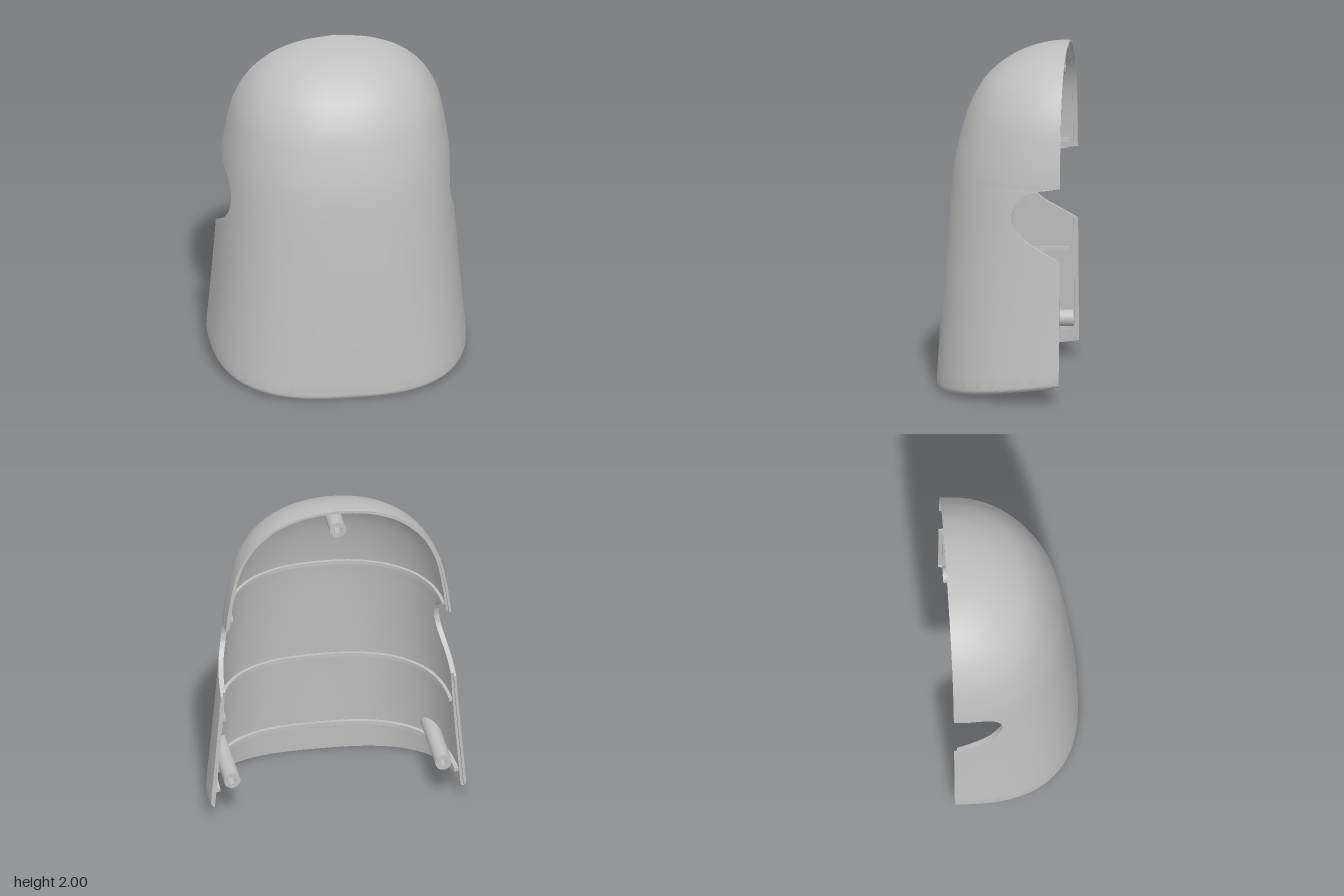
import * as THREE from 'three';
import { toCreasedNormals } from 'three/addons/utils/BufferGeometryUtils.js';

const BACK = -0.38; // plane of the open back
const WALL = 0.958; // inner wall as a share of the outer outline
const lerp = THREE.MathUtils.lerp;

// Side silhouette: half width, height, front z
const silhouette = new THREE.CatmullRomCurve3([
  [0.752, 0, 0.38], [0.722, 0.4, 0.357], [0.692, 0.83, 0.328], [0.662, 1.26, 0.288],
  [0.645, 1.4, 0.262], [0.605, 1.6, 0.205], [0.565, 1.7, 0.16], [0.5, 1.8, 0.092],
  [0.385, 1.9, -0.03], [0.28, 1.95, -0.13], [0.175, 1.98, -0.23], [0, 2, BACK],
].map(p => new THREE.Vector3(...p)), false, 'centripetal').getPoints(800);

function section(y) {
  let i = silhouette.findIndex(p => p.y >= y);
  if (i < 0) i = silhouette.length - 1;
  i = Math.max(1, i);
  const p = silhouette[i - 1], q = silhouette[i];
  const f = THREE.MathUtils.clamp((y - p.y) / (q.y - p.y || 1), 0, 1);
  return { a: lerp(p.x, q.x, f), d: lerp(p.z, q.z, f) - BACK, n: lerp(2.75, 2.1, y / 2) };
}

// Side cut-outs: height and z of the edge
const notch = [[0.83, BACK], [0.93, -0.205], [0.96, -0.165], [1.0, -0.128], [1.04, -0.105],
  [1.09, -0.096], [1.13, -0.103], [1.17, -0.124], [1.2, -0.15], [1.225, -0.187],
  [1.236, -0.22], [1.26, BACK]];

function edgeZ(y) {
  for (let i = 1; i < notch.length; i++) {
    const [y0, z0] = notch[i - 1], [y1, z1] = notch[i];
    if (y >= y0 && y <= y1) return lerp(z0, z1, (y - y0) / (y1 - y0));
  }
  return BACK;
}

// Angle at which a section reaches a given z
function startAngle(s, k, z) {
  const f = THREE.MathUtils.clamp((z - BACK) / (s.d * k || 1e-6), 0, 1);
  return Math.asin(Math.pow(f, s.n / 2));
}

// Point on a superelliptic half section, scaled by k
function onSection(s, k, t) {
  const c = Math.cos(t), e = 2 / s.n;
  return new THREE.Vector3(Math.sign(c) * s.a * k * Math.abs(c) ** e, 0,
    BACK + s.d * k * Math.max(0, Math.sin(t)) ** e);
}

// Skin closed rings; extra triangles may be added by index
function loft(rings, extra = [], crease = 0.6) {
  const m = rings[0].length, index = [...extra];
  for (let r = 0; r < rings.length - 1; r++) {
    for (let i = 0; i < m; i++) {
      const a = r * m + i, b = r * m + (i + 1) % m;
      index.push(a, a + m, b, b, a + m, b + m);
    }
  }
  const g = new THREE.BufferGeometry().setFromPoints(rings.flat());
  g.setIndex(index);
  return toCreasedNormals(g, crease);
}

function shellGeometry() {
  const N = 72, R = 0.035;
  const rows = [];
  for (let i = 0; i <= 6; i++) rows.push(R * (1 - Math.cos(i / 6 * Math.PI / 2)));
  for (let i = 1; i <= 12; i++) rows.push(lerp(R, 0.83, i / 12));
  for (let i = 1; i <= 40; i++) rows.push(lerp(0.83, 1.26, i / 40));
  for (let i = 1; i <= 40; i++) rows.push(1.26 + 0.74 * Math.sin(i / 40 * Math.PI / 2));

  const rings = rows.map(v => {
    const s = section(v), z0 = edgeZ(v);
    const lip = z0 < BACK + 0.005 ? 0.025 : 0; // stepped joint on the back edge
    const inset = v < R ? 0.035 * (1 - Math.sqrt(1 - ((R - v) / R) ** 2)) : 0;
    const point = (k, z, f) => {
      const t0 = startAngle(s, k, z);
      const p = onSection(s, k, lerp(t0, Math.PI - t0, f));
      const roof = 1 - 0.03 * (1 - k) / (1 - WALL) / 0.5; // inner dome sits lower
      p.y = v > 1.5 ? 1.5 + (v - 1.5) * roof : v;
      if (v < 0.7) p.y += (1 - v / 0.7) * 0.1 * (0.38 - p.z) / 0.76; // slanted foot
      return p;
    };
    const outer = 1 - inset, mid = (1 + WALL) / 2, ring = [];
    for (let i = 0; i <= N; i++) ring.push(point(outer, z0, i / N));
    ring.push(point(mid, z0, 1), point(mid, z0 + lip, 1));
    for (let i = N; i >= 0; i--) ring.push(point(WALL, z0 + lip, i / N));
    ring.push(point(mid, z0 + lip, 0), point(mid, z0, 0));
    return ring;
  });

  // Foot rim joins the outer and inner wall
  const rim = [], L = 2 * N + 6, at = i => (i + L) % L, pair = i => at(2 * N + 3 - i);
  for (let i = -1; i <= N; i++) {
    rim.push(at(i), at(i + 1), pair(i), at(i + 1), pair(i + 1), pair(i));
  }
  return loft(rings, rim);
}

// Thin horizontal ledge along the inner wall
function ribGeometry(y) {
  const N = 60, h = 0.011, s = section(y), rings = [];
  const t0 = startAngle(s, 0.93, -0.335);
  for (let i = 0; i <= N; i++) {
    const t = lerp(t0, Math.PI - t0, i / N);
    rings.push([[0.93, -h], [0.93, h], [0.97, h], [0.97, -h]].map(([k, dy]) => {
      const p = onSection(s, k, t);
      p.y = y + dy;
      return p;
    }));
  }
  const e = N * 4;
  return loft(rings, [0, 1, 2, 0, 2, 3, e, e + 2, e + 1, e, e + 3, e + 2]);
}

// Hollow screw post whose front end follows the wall
function postGeometry(x, y) {
  const N = 24, end = BACK + 0.02;
  const wallZ = (px, py) => {
    const s = section(py), k = 0.975;
    const f = Math.min(1, Math.abs(px) / (s.a * k));
    return BACK + s.d * k * (1 - f ** s.n) ** (1 / s.n);
  };
  const steps = [[0.048, null], [0.048, end], [0.022, end], [0.022, end + 0.12], [0, end + 0.12]];
  return loft(steps.map(([r, z]) => Array.from({ length: N }, (_, i) => {
    const t = i / N * Math.PI * 2;
    const px = x + r * Math.cos(t), py = y + r * Math.sin(t);
    return new THREE.Vector3(px, py, z ?? Math.max(end, wallZ(px, py)));
  })));
}

export function createModel() {
  const group = new THREE.Group();
  group.name = 'halfShellCover';
  const grey = new THREE.MeshStandardMaterial({ color: 0xc0c0c0 });
  grey.name = 'light grey plastic';
  const add = (name, geometry) => {
    const mesh = new THREE.Mesh(geometry, grey);
    mesh.name = name;
    group.add(mesh);
  };

  add('shell', shellGeometry());
  add('lowerRib', ribGeometry(0.18));
  add('middleRib', ribGeometry(0.65));
  add('upperRib', ribGeometry(1.3));
  add('topPost', postGeometry(0, 1.86));
  add('leftPost', postGeometry(0.62, 0.25));
  add('rightPost', postGeometry(-0.62, 0.25));
  return group;
}
